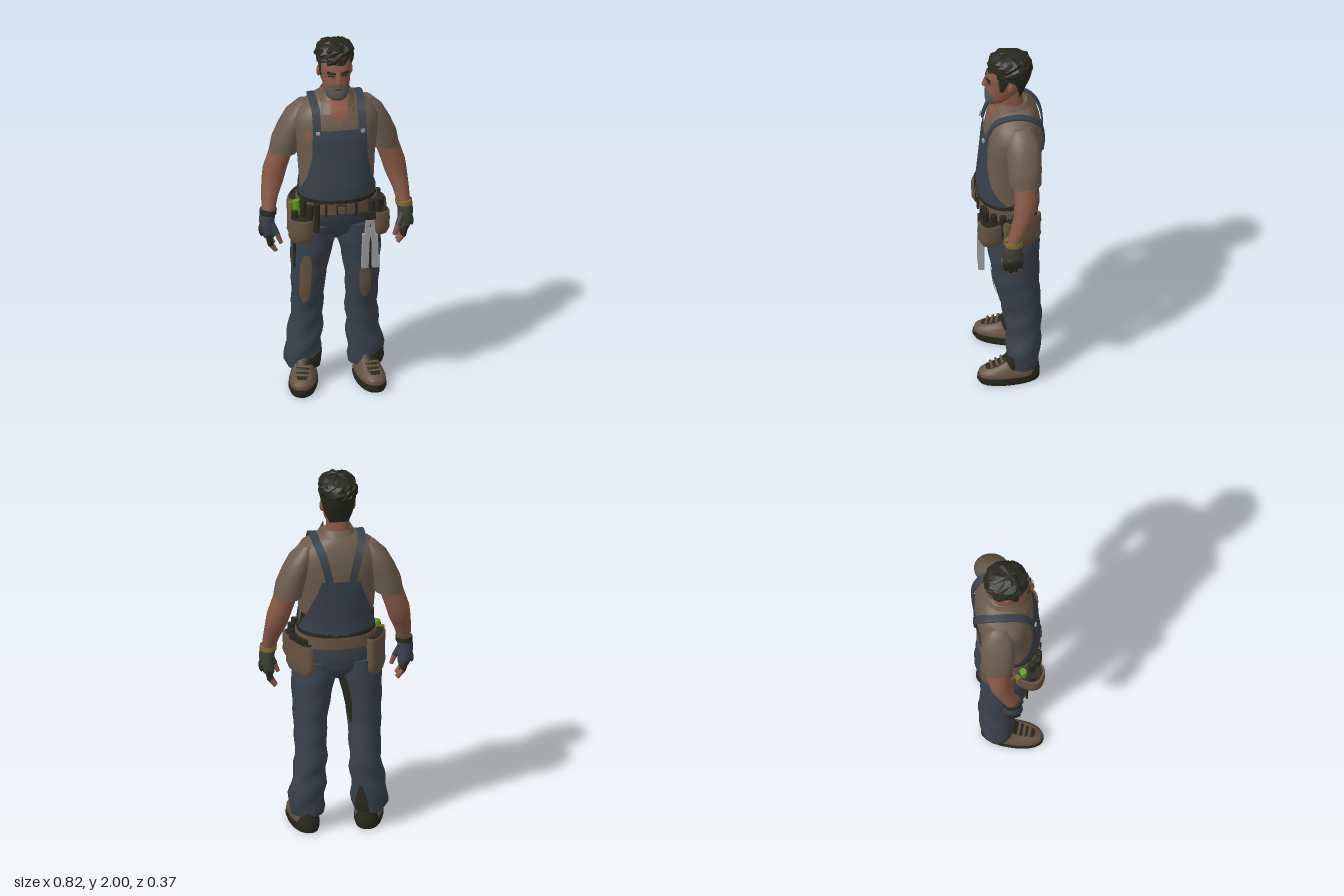
import * as THREE from 'three';
import { toCreasedNormals } from 'three/addons/utils/BufferGeometryUtils.js';

const mat = (name, color, side = THREE.FrontSide) => Object.assign(new THREE.MeshStandardMaterial({ color, side }), { name });
const V = (x, y, z) => new THREE.Vector3(x, y, z);

// Surface through rows of points; columns run counter-clockwise, rows run upwards
function grid(rows, crease = 0.8) {
  const pos = [];
  const tri = (a, b, c) => {
    if (a.distanceTo(b) > 1e-6 && b.distanceTo(c) > 1e-6 && c.distanceTo(a) > 1e-6)
      for (const p of [a, b, c]) pos.push(p.x, p.y, p.z);
  };
  for (let i = 0; i + 1 < rows.length; i++)
    for (let j = 0; j + 1 < rows[i].length; j++) {
      tri(rows[i][j], rows[i][j + 1], rows[i + 1][j + 1]);
      tri(rows[i][j], rows[i + 1][j + 1], rows[i + 1][j]);
    }
  const g = new THREE.BufferGeometry();
  g.setAttribute('position', new THREE.Float32BufferAttribute(pos, 3));
  return toCreasedNormals(g, crease);
}

// Linear lookup in a table whose first column is y
function at(keys, y) {
  let i = 0;
  while (i < keys.length - 2 && keys[i + 1][0] < y) i++;
  const a = keys[i], b = keys[i + 1], t = THREE.MathUtils.clamp((y - a[0]) / (b[0] - a[0]), 0, 1);
  return a.map((v, k) => v + (b[k] - v) * t);
}

// Cross-section [y, cx, rx, zFront, zBack, roundness]: an oval, angle 0 faces the front
function ringPoint([y, cx, rx, zf, zb, e = 0.82], a, lift = 0) {
  const f = (v) => Math.sign(v) * Math.abs(v) ** e;
  return V(cx + f(Math.sin(a)) * (rx + lift), y, (zf + zb) / 2 + f(Math.cos(a)) * ((zf - zb) / 2 + lift));
}

// Closed body through sections, with an optional rule that moves each point
function loft(keys, { n = 28, step = 0.03, rule = (p) => p, crease = 0.8 } = {}) {
  const rows = [];
  for (let i = 0; i + 1 < keys.length; i++) {
    const m = Math.max(1, Math.round((keys[i + 1][0] - keys[i][0]) / step));
    for (let k = 0; k < m; k++) rows.push(at([keys[i], keys[i + 1]], keys[i][0] + ((keys[i + 1][0] - keys[i][0]) * k) / m));
  }
  rows.push(keys.at(-1));
  const pts = rows.map((r) => {
    const ring = Array.from({ length: n }, (_, j) => rule(ringPoint(r, (j / n) * Math.PI * 2)));
    return [...ring, ring[0]];
  });
  const cap = (r) => Array(n + 1).fill(V(r[1], r[0], (r[3] + r[4]) / 2));
  return grid([cap(rows[0]), ...pts, cap(rows.at(-1))], crease);
}

// Thin panel lying on a lofted body; spans are [y, startAngle, endAngle]
function panel(keys, spans, lift, nu = 16, nv = 14) {
  const y0 = spans[0][0], y1 = spans.at(-1)[0];
  return grid(Array.from({ length: nv + 1 }, (_, i) => {
    const y = y0 + ((y1 - y0) * i) / nv, [, a, b] = at(spans, y);
    return Array.from({ length: nu + 1 }, (_, j) => ringPoint(at(keys, y), a + ((b - a) * j) / nu, lift));
  }));
}

// Limb sections for one side, with fully round ovals
const sided = (keys, s) => keys.map(([y, cx, ...r]) => [y, cx * s, ...r, 1]);

const TORSO = [[1.08, 0, .197, .155, -.152, .92], [1.2, 0, .197, .158, -.152, .92], [1.35, 0, .206, .143, -.167, .88], [1.48, 0, .222, .13, -.178, .82],
  [1.56, 0, .228, .112, -.173, .82], [1.62, 0, .192, .09, -.157, .82], [1.66, 0, .125, .06, -.14, .82], [1.69, 0, .08, .045, -.115, .82]];
const HEAD = [[1.692, 0, .03, .095, .03], [1.71, 0, .05, .115, 0], [1.74, 0, .064, .116, -.04], [1.78, 0, .073, .112, -.07],
  [1.83, 0, .08, .106, -.095], [1.86, 0, .084, .112, -.11], [1.9, 0, .086, .1, -.115], [1.95, 0, .075, .08, -.1], [1.975, 0, .05, .05, -.06]];
const HAIR = [[1.745, 0, .062, .04, -.073], [1.79, 0, .076, .06, -.09], [1.85, 0, .088, .09, -.117], [1.9, 0, .096, .104, -.13]];
const CROWN = [[1.885, 0, .09, .096, -.125, .9], [1.915, 0, .1, .104, -.132, .9], [1.945, 0, .099, .1, -.126, .9], [1.97, 0, .086, .09, -.105, .9], [1.987, 0, .062, .07, -.07, .9], [1.995, 0, .03, .04, -.03, .9]];
const LEG = [[.09, .166, .084, .012, -.145], [.13, .168, .096, .018, -.155], [.2, .166, .096, .018, -.16], [.35, .148, .086, .022, -.168],
  [.45, .144, .084, .037, -.166], [.6, .144, .088, .082, -.158], [.75, .135, .103, .103, -.157], [.86, .122, .119, .121, -.16], [.97, .11, .112, .127, -.157]];
const SLEEVE = [[1.345, .27, .076, .01, -.16], [1.42, .255, .078, .016, -.163], [1.5, .225, .074, .02, -.163], [1.57, .2, .06, .012, -.15], [1.63, .165, .034, -.02, -.11]];
const ARM = [[1.02, .362, .034, .03, -.045], [1.1, .35, .044, .008, -.08], [1.18, .33, .058, -.01, -.118], [1.25, .315, .064, -.014, -.134], [1.38, .272, .064, -.015, -.14]];
const GLOVE = [[.885, .36, .03, .045, -.055], [.92, .367, .038, .05, -.06], [.98, .37, .041, .046, -.056], [1.04, .362, .042, .036, -.052]];
const BOOT = [[.035, 0, .071, .17, -.155], [.065, 0, .07, .165, -.153], [.085, 0, .062, .135, -.15], [.105, 0, .056, .07, -.148], [.13, 0, .055, .03, -.145], [.17, 0, .055, 0, -.14]];

export function createModel() {
  const M = {
    skin: mat('skin', 0x875846), shirt: mat('shirtCloth', 0x6c5b4d, THREE.DoubleSide), denim: mat('denim', 0x39414b, THREE.DoubleSide),
    dark: mat('darkOlive', 0x28281d), beard: mat('beardGrey', 0x5d584e), leather: mat('leather', 0x655241), glove: mat('gloveCloth', 0x3c4034),
    metal: mat('metal', 0x9a9a9a), green: mat('greenPlastic', 0x5c9a1c), yellow: mat('ochre', 0x7d6a2a),
  };
  const root = new THREE.Group();
  root.name = 'workman';
  const add = (name, geo, m, pos, rot, parent = root) => {
    const mesh = new THREE.Mesh(geo, m);
    mesh.name = name;
    if (pos) mesh.position.set(...pos);
    if (rot) mesh.rotation.set(...rot);
    parent.add(mesh);
    return mesh;
  };
  const group = (name, x, z, turn = 0) => {
    const g = new THREE.Group();
    g.name = name;
    g.position.set(x, 0, z);
    g.rotation.y = turn;
    root.add(g);
    return g;
  };
  const box = (name, size, m, pos, rot, parent) => add(name, new THREE.BoxGeometry(...size), m, pos, rot, parent);
  const rod = (name, r0, r1, a, b, m) => {
    const d = b.clone().sub(a), mesh = add(name, new THREE.CylinderGeometry(r1, r0, d.length(), 10), m);
    mesh.position.copy(a).addScaledVector(d, .5);
    mesh.quaternion.setFromUnitVectors(V(0, 1, 0), d.normalize());
  };
  let seed = 7;
  const rand = () => ((seed = (seed * 16807) % 2147483647) / 2147483647) - 0.5;

  // Head and face
  const head = group('headGroup', -.007, 0);
  const face = (name, geo, m, pos, rot) => add(name, geo, m, pos, rot, head);
  face('head', loft(HEAD, { step: .015 }), M.skin);
  face('neck', loft([[1.6, 0, .075, .05, -.1], [1.68, 0, .062, .05, -.085], [1.77, 0, .06, .045, -.075]]), M.skin);
  face('nose', loft([[1.793, 0, .013, .12, .1], [1.803, 0, .019, .137, .1], [1.815, 0, .015, .134, .1], [1.865, 0, .009, .116, .095]], { n: 12 }), M.skin);
  face('beard', panel(HEAD, [[1.694, -1.5, 1.5], [1.74, -1.15, 1.15], [1.77, -1, 1], [1.79, -.5, .5]], .005), M.beard);
  box('mouth', [.04, .004, .006], M.dark, [0, 1.764, .117], null, head);
  for (const s of [-1, 1]) {
    box('brow', [.046, .01, .01], M.dark, [s * .036, 1.857, .106], [0, s * .3, s * .12], head);
    box('eye', [.032, .008, .006], M.dark, [s * .036, 1.838, .1], [0, s * .35, 0], head);
    face('ear', new THREE.SphereGeometry(1, 12, 8).scale(.012, .031, .02), M.skin, [s * .084, 1.825, -.015], [0, s * .3, 0]);
    face('sideburn', panel(HEAD, [[1.8, s * 1.4 - .1, s * 1.4 + .1], [1.9, s * 1.35 - .25, s * 1.35 + .25]], .004, 4, 5), M.dark);
  }
  // Hair: a tousled crown over a close back
  const tousle = (p) => p.add(V(rand() * .016, rand() * .014, rand() * .016));
  face('hairBack', panel(HAIR, [[1.745, 2.3, 3.98], [1.79, 2.0, 4.28], [1.85, 1.75, 4.53], [1.9, 1.3, 4.98]], .002, 22, 10), M.dark);
  face('hairCrown', loft(CROWN, { n: 26, step: .014, crease: .2, rule: tousle }), M.dark);

  // Shirt
  add('shirtBody', loft(TORSO), M.shirt);
  add('openNeck', panel(TORSO, [[1.565, -.02, .02], [1.63, -.26, .26], [1.688, -.75, .75]], .004, 8, 8), M.skin);
  const COLLAR = [[1.615, 0, .12, .105, -.145], [1.66, 0, .098, .076, -.13], [1.71, 0, .072, .052, -.098]];
  add('collar', panel(COLLAR, [[1.615, .28, .75], [1.645, .33, 1.6], [1.655, .38, 5.9], [1.71, .8, 5.48]], .006, 36, 10), M.shirt);
  add('collarTip', panel(COLLAR, [[1.615, 5.53, 6.0], [1.66, 4.7, 5.9]], .006, 10, 4), M.shirt);
  add('chestPatch', panel(TORSO, [[1.455, -.82, -.74], [1.48, -.9, -.66], [1.53, -.86, -.66]], .004, 4, 4), M.skin);

  // Overalls: bib, back panel, seat, straps
  add('bib', panel(TORSO, [[1.13, -1.6, 1.6], [1.2, -1.2, 1.2], [1.26, -.92, .92], [1.38, -.68, .68], [1.53, -.56, .56]], .01, 28, 16), M.denim);
  add('backPanel', panel(TORSO, [[1.13, 1.65, 4.63], [1.2, 2.0, 4.28], [1.28, 2.3, 3.98], [1.38, 2.6, 3.68], [1.45, 2.75, 3.53]], .009, 28, 16), M.denim);
  add('waistBand', loft([[1.112, 0, .209, .167, -.162, .9], [1.14, 0, .208, .168, -.161, .9]]), M.dark);
  add('seat', loft([[.86, 0, .05, .03, -.1, .92], [.92, 0, .19, .1, -.15, .92], [1.0, 0, .217, .134, -.16, .92], [1.1, 0, .207, .157, -.157, .92]]), M.denim);
  for (const s of [-1, 1]) {
    add('sideGusset', panel(TORSO, [[1.14, s * 1.85 - .2, s * 1.85 + .2], [1.24, s * 2 - .1, s * 2 + .1]], .005, 4, 5), M.dark);
    const path = new THREE.CatmullRomCurve3([[.122, 1.51, .127], [.122, 1.58, .104], [.122, 1.63, .076], [.126, 1.662, .02], [.126, 1.671, -.05],
      [.116, 1.648, -.122], [.098, 1.6, -.166], [.076, 1.52, -.186], [.056, 1.42, -.18]].map(([x, y, z]) => V(x * s, y, z)));
    const rows = Array.from({ length: 29 }, (_, i) => {
      const p = path.getPoint(i / 28), t = path.getTangent(i / 28);
      const w = V(1, 0, 0).addScaledVector(t, -t.x).normalize(), o = w.clone().cross(t).normalize();
      return [[-1, -1], [1, -1], [1, 1], [-1, 1], [-1, -1]].map(([a, b]) => p.clone().addScaledVector(w, a * .021).addScaledVector(o, b * .005));
    });
    add('strap', grid(rows), M.denim);
    box('strapBuckle', [.022, .018, .008], M.metal, [s * .12, 1.525, .136], [-.2, s * .25, 0]);
  }

  // Limbs, mirrored
  for (const s of [-1, 1]) {
    const fold = (p) => {
      const k = .004 * Math.sin(p.y * 42 + p.x * s * 26 + p.z * 20) * (p.y < .45 ? 1.4 : .5);
      return p.add(V(k, 0, k));
    };
    const leg = sided(LEG, s);
    add('trouserLeg', loft(leg, { rule: fold }), M.denim);
    const [a, y0, y1] = s < 0 ? [-.4, .5, .8] : [-.02, .52, .73];
    add('kneePatch', panel(leg, [[y0, a - .08, a + .08], [y0 + .05, a - .34, a + .34], [y1 - .05, a - .3, a + .3], [y1, a - .12, a + .12]], .005, 8, 10), M.leather);
    add('hemPatch', panel(leg, [[.095, -.15, 1.05], [.135, -.05, 1.05], [.18, .7, 1.0]], .009, 8, 8), M.dark);

    add('sleeve', loft(sided(SLEEVE, s)), M.shirt);
    add('arm', loft(sided(ARM, s)), M.skin);
    add('glove', loft(sided(GLOVE, s), { n: 20 }), s < 0 ? M.denim : M.glove);
    add('gloveCuff', loft([[1.015, s * .363, .045, .042, -.058, 1], [1.04, s * .361, .045, .04, -.056, 1]], { n: 20 }), s < 0 ? M.dark : M.yellow);
    add('knucklePad', new THREE.SphereGeometry(1, 12, 8).scale(.012, .03, .042), M.dark, [s * .4, .92, -.005]);
    // Fingers curl inwards; the glove leaves the tips bare
    for (let i = 0; i < 4; i++) {
      const z = .033 - i * .025, drop = [0, .012, .008, -.012][i];
      rod('finger', .014, .017, V(s * .352, .845 - drop, z), V(s * .366, .91, z), M.dark);
      rod('fingertip', .01, .013, V(s * .325, .812 - drop, z), V(s * .353, .85 - drop, z), M.skin);
    }
    rod('thumb', .016, .02, V(s * .322, .91, .042), V(s * .352, .97, .022), s < 0 ? M.denim : M.glove);
    rod('thumbTip', .011, .015, V(s * .302, .86, .045), V(s * .322, .912, .042), M.skin);

    // Boots, toes turned out
    const boot = group('boot', s * .175, 0, s < 0 ? -.24 : .12);
    const onBoot = (name, geo, m) => add(name, geo, m, null, null, boot);
    onBoot('sole', loft([[0, 0, .07, .163, -.155, .9], [.02, 0, .077, .175, -.16, .9], [.045, 0, .075, .172, -.16, .9]]), M.dark);
    onBoot('bootUpper', loft(BOOT, { step: .01 }), M.leather);
    onBoot('tongue', panel(BOOT, [[.088, -.3, .3], [.105, -.5, .5], [.16, -.7, .7]], .004, 8, 10), M.dark);
    onBoot('heelCounter', panel(BOOT, [[.04, 2.2, 4.08], [.09, 2.4, 3.88], [.16, 2.5, 3.78]], .004, 10, 8), M.dark);
    for (let i = 0; i < 3; i++) box('lace', [.07, .007, .012], M.leather, [0, .101 + i * .012, .1 - i * .028], [.4, 0, 0], boot);
  }
  // Stains behind the right leg
  const rightLeg = sided(LEG, -1);
  add('thighStain', panel(rightLeg, [[.6, 2.0, 2.2], [.72, 1.75, 2.4], [.87, 1.7, 2.4]], .004, 8, 10), M.dark);
  add('calfStain', panel(rightLeg, [[.1, 2.2, 3.0], [.17, 2.2, 2.9], [.25, 2.5, 2.7]], .009, 8, 8), M.dark);

  // Belt
  add('belt', loft([[1.055, 0, .22, .163, -.168, .9], [1.118, 0, .214, .17, -.166, .9]]), M.leather);
  box('buckle', [.052, .052, .008], M.dark, [0, 1.087, .169]);
  box('buckleInset', [.042, .042, .008], M.leather, [0, 1.087, .172]);
  for (const x of [-.08, .08]) box('beltLoop', [.014, .07, .008], M.dark, [x, 1.087, .163], [0, x * 2, 0]);

  // Pouches [x, z, half width, half depth, bottom, top, turn]; the rear pair wraps the hips
  const pouches = [[-.2, .1, .07, .076, .9, 1.03, -.4], [.2, .095, .058, .076, .92, 1.05, .4], [-.203, -.07, .1, .036, .885, 1.09, 1.1], [.2, -.062, .112, .036, .9, 1.07, -1.1]];
  for (const [x, z, w, d, y0, y1, r] of pouches) {
    const g = group('pouch', x, z, r);
    const layer = (name, keys, m) => add(name, loft(keys.map(([y, k]) => [y, 0, w * k, d * k, -d * k]), { n: 24 }), m, null, null, g);
    layer('pouchBody', [[y0, .8], [y0 + .03, 1], [y1, .95]], M.leather);
    layer('pouchMouth', [[y1 - .002, .84], [y1 + .004, .82]], M.dark);
    layer('pouchFlap', [[y1 - .055, 1.03], [y1 - .005, 1.0]], M.leather);
  }

  // Tools standing in the pouches
  rod('greenHandle', .016, .02, V(-.218, 1.0, .068), V(-.228, 1.11, .06), M.green);
  rod('ochreHandle', .013, .015, V(-.243, 1.0, .035), V(-.25, 1.09, .032), M.yellow);
  for (const [x, z, y] of [[-.195, .11, 1.13], [-.165, .14, 1.11], [-.13, .15, 1.12], [-.24, .11, 1.07], [.165, .14, 1.12], [.2, .13, 1.12],
    [.225, .09, 1.11], [.228, .04, 1.1], [.222, -.03, 1.1], [.205, -.08, 1.1], [.185, -.115, 1.1]])
    rod('toolHandle', .016, .019, V(x, .96, z), V(x, y, z), M.dark);
  rod('hangingDriver', .006, .01, V(-.238, .73, .08), V(-.236, .93, .08), M.dark);

  // Hanging pliers
  const pliers = group('pliers', .155, .152);
  for (const s of [-1, 1]) {
    box('plierArm', [.036, .19, .032], M.metal, [s * .025, .83, 0], [0, 0, s * .04], pliers);
    box('plierJaw', [.02, .09, .03], M.metal, [s * .013, .98, 0], [0, 0, s * .1], pliers);
  }
  box('plierSlot', [.014, .19, .022], M.dark, [0, .83, 0], null, pliers);
  add('plierPivot', new THREE.CylinderGeometry(.028, .028, .036, 16), M.metal, [0, .94, 0], [Math.PI / 2, 0, 0], pliers);
  box('plierHolder', [.06, .04, .032], M.dark, [0, 1.035, 0], null, pliers);
  return root;
}
